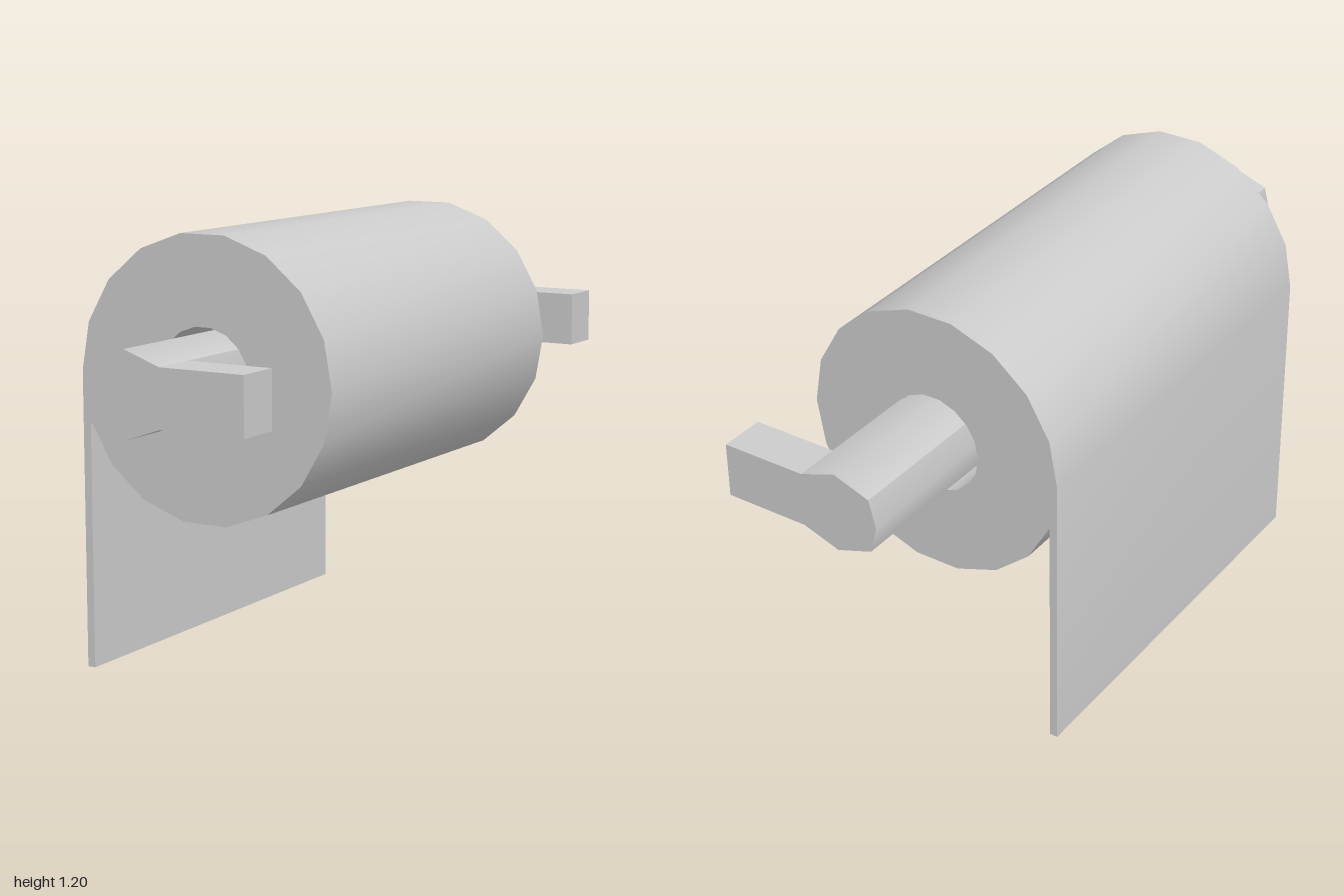
import * as THREE from 'three';
import { toCreasedNormals } from 'three/addons/utils/BufferGeometryUtils.js';

const CREASE = 0.8;

export function createModel() {
  const group = new THREE.Group();
  const material = new THREE.MeshStandardMaterial({ color: 0xcccccc });

  const add = (name, geometry) => {
    const mesh = new THREE.Mesh(geometry, material);
    mesh.name = name;
    group.add(mesh);
    return mesh;
  };

  // Extrude a shape in the xy plane between two z positions
  const extrude = (shape, zBack, zFront) => {
    const geometry = new THREE.ExtrudeGeometry(shape, { depth: zFront - zBack, bevelEnabled: false });
    geometry.translate(0, 0, zBack);
    return toCreasedNormals(geometry, CREASE);
  };

  // Points of an 18-sided ring, counter-clockwise from +x
  const SIDES = 18, CENTRE_X = -0.002, CENTRE_Y = 0.82;
  const ring = (radius) => Array.from({ length: SIDES }, (_, i) => {
    const a = (i / SIDES) * Math.PI * 2;
    return new THREE.Vector2(CENTRE_X + radius * Math.cos(a), CENTRE_Y + radius * Math.sin(a));
  });

  // Hollow roll whose outer layer hangs straight down on the right side
  const outline = ring(0.386);
  const inner = outline[SIDES / 2 + 1];
  outline.splice(SIDES / 2 + 1, 0,
    new THREE.Vector2(outline[SIDES / 2].x, 0),
    new THREE.Vector2(inner.x, 0));
  const rollShape = new THREE.Shape(outline);
  rollShape.holes.push(new THREE.Path(ring(0.142).reverse()));
  add('rollWithHangingSheet', extrude(rollShape, -0.595, 0.643));

  // Eight-sided spindle through the core
  const spindleShape = new THREE.Shape([
    [0.127, 0.833], [0.107, 0.911], [0.002, 0.948], [-0.102, 0.911],
    [-0.122, 0.833], [-0.102, 0.756], [0.002, 0.72], [0.107, 0.756],
  ].map(([x, y]) => new THREE.Vector2(x, y)));
  add('spindle', extrude(spindleShape, -1, 1));

  // Mounting arms at both ends of the spindle
  for (const [side, name] of [[1, 'frontArm'], [-1, 'backArm']]) {
    const arm = add(name, new THREE.BoxGeometry(0.243, 0.155, 0.127));
    arm.position.set(0.2285, 0.8335, side * 0.9365);
  }

  return group;
}
